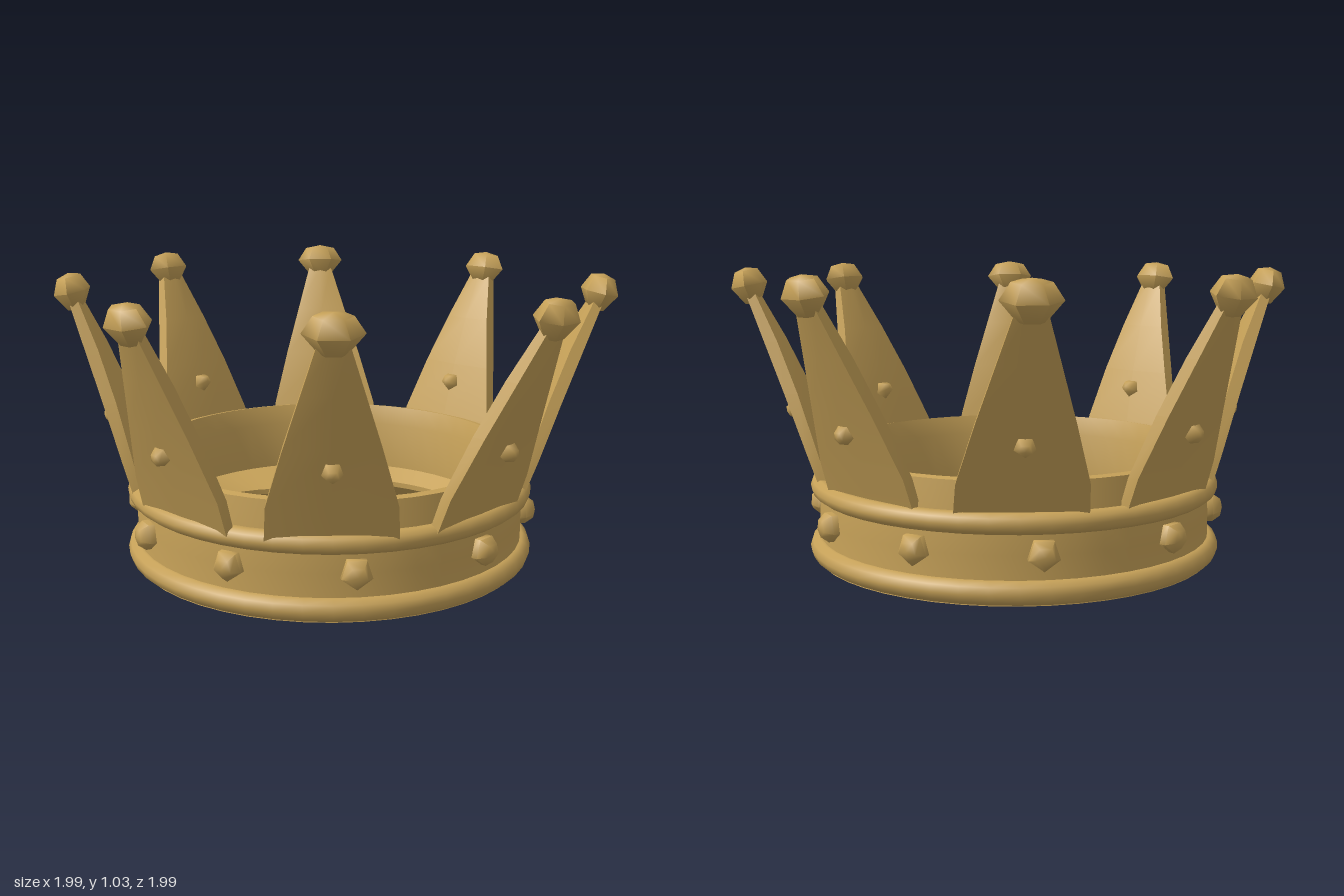
import * as THREE from 'three';
import { toCreasedNormals } from 'three/addons/utils/BufferGeometryUtils.js';

const gold = new THREE.MeshStandardMaterial({ color: 0xc6a158 });
gold.name = 'gold';

function mesh(name, geometry, parent) {
  const m = new THREE.Mesh(geometry, gold);
  m.name = name;
  parent.add(m);
  return m;
}

const lathe = (points, segments) =>
  new THREE.LatheGeometry(points.map(([r, y]) => new THREE.Vector2(r, y)), segments);

// Worn inner lip: hole radius every 22.5 degrees, starting at the front
const LIP = [0.53, 0.53, 0.52, 0.49, 0.51, 0.43, 0.52, 0.56, 0.55, 0.54, 0.47, 0.42, 0.49, 0.45, 0.48, 0.52];

// Band wall with a chamfered rim and a shallow flange around the hole
function bandGeometry() {
  const geo = lathe([
    [0.65, 0.01], [0.715, 0.01], [0.705, 0.09], [0.705, 0.17], [0.7, 0.25], [0.695, 0.3], [0.68, 0.4],
    [0.655, 0.405], [0.63, 0.335], [0.62, 0.155], [0.5, 0.115], [0.5, 0.095], [0.65, 0.01],
  ], 48);
  const p = geo.attributes.position;
  for (let i = 0; i < p.count; i++) {
    const x = p.getX(i), z = p.getZ(i), r = Math.hypot(x, z);
    if (r > 0.55) continue;
    const a = ((Math.atan2(x, z) / (Math.PI * 2) + 1) % 1) * 16;
    const k = Math.floor(a + 1e-4);
    const target = THREE.MathUtils.lerp(LIP[k % 16], LIP[(k + 1) % 16], a - k);
    p.setXYZ(i, x * target / r, p.getY(i), z * target / r);
  }
  return toCreasedNormals(geo, 0.6);
}

const BASE_Z = 0.665, BASE_Y = 0.26, RISE = 0.69;

// Depth of a spike's centre line: leans outward with a slight inward bow
const spikeDepth = (t, tipZ) => BASE_Z + (tipZ - BASE_Z) * t - 0.05 * t * (1 - t);

// Spike: tapered plate, thicker along its middle; rows are height, half width, half thickness
function spikeGeometry(tipX, tipZ) {
  const rows = [[BASE_Y, 0.215, 0.026], [0.4, 0.208, 0.03], [0.6, 0.152, 0.036], [0.78, 0.097, 0.036], [BASE_Y + RISE, 0.045, 0.026]];
  const geo = new THREE.BoxGeometry(2, 4, 2, 2, 4, 1);
  const p = geo.attributes.position;
  for (let i = 0; i < p.count; i++) {
    const [y, half, thick] = rows[Math.round(p.getY(i) + 2)];
    const t = (y - BASE_Y) / RISE;
    const side = p.getX(i);
    const depth = p.getZ(i) * thick * (side === 0 ? 1 : 0.65);
    p.setXYZ(i, side * half + tipX * t, y, spikeDepth(t, tipZ) + depth);
  }
  return toCreasedNormals(geo, 0.8);
}

// Small rounded stud pointing along +z
function studGeometry(r) {
  const geo = lathe([[r, -0.03], [r, 0.005], [r * 0.6, 0.034], [0, 0.04]], 5);
  geo.rotateX(Math.PI / 2);
  return toCreasedNormals(geo, 1.3);
}

// Flattened knob, widest across the spike
function knobGeometry() {
  const geo = lathe([[0, -0.075], [0.042, -0.068], [0.094, -0.005], [0.06, 0.048], [0, 0.06]], 6);
  geo.rotateY(Math.PI / 6);
  geo.scale(1, 1, 0.7);
  return toCreasedNormals(geo, 1.15);
}

export function createModel() {
  const crown = new THREE.Group();
  crown.name = 'crown';

  // Band with a rolled hoop at the base and one above the studs
  const band = new THREE.Group();
  band.name = 'band';
  band.position.set(-0.006, 0, -0.012);
  crown.add(band);
  mesh('bandWall', bandGeometry(), band);
  for (const [name, y, tube] of [['lowerHoop', 0.051, 0.041], ['upperHoop', 0.272, 0.036]]) {
    const hoop = mesh(name, new THREE.TorusGeometry(0.701, tube, 10, 48), band);
    hoop.rotation.x = Math.PI / 2;
    hoop.position.y = y;
  }

  // Ten studs around the band
  for (const degrees of [17, 51, 90, 129, 163]) {
    for (const side of [1, -1]) {
      const a = side * degrees * Math.PI / 180;
      const stud = mesh('bandStud', studGeometry(0.054), band);
      stud.position.set(Math.sin(a) * 0.718, 0.175, Math.cos(a) * 0.718);
      stud.rotation.y = a;
    }
  }

  // Eight spikes: sideways drift and reach of each tip
  const tips = [[0.08, 0.94], [0, 0.9], [0.03, 0.94], [-0.04, 0.96], [0.02, 0.945], [0.02, 0.975], [-0.03, 0.945], [0, 0.91]];
  tips.forEach(([tx, tz], i) => {
    const spike = new THREE.Group();
    spike.name = 'spike';
    spike.rotation.y = i * Math.PI / 4;
    crown.add(spike);
    mesh('spikeBlade', spikeGeometry(tx, tz - 0.01), spike);

    const knob = mesh('spikeKnob', knobGeometry(), spike);
    knob.rotation.x = 0.2;
    knob.position.set(tx, 0.98, tz);

    // Studs on both faces of the blade
    const t = (0.53 - BASE_Y) / RISE;
    for (const s of [1, -1]) {
      const stud = mesh(s > 0 ? 'outerStud' : 'innerStud', studGeometry(0.036), spike);
      stud.position.set(tx * t, 0.53, spikeDepth(t, tz - 0.01) + s * 0.03);
      stud.rotation.set(s * 0.3, s > 0 ? 0 : Math.PI, 0, 'YXZ');
    }
  });

  return crown;
}
